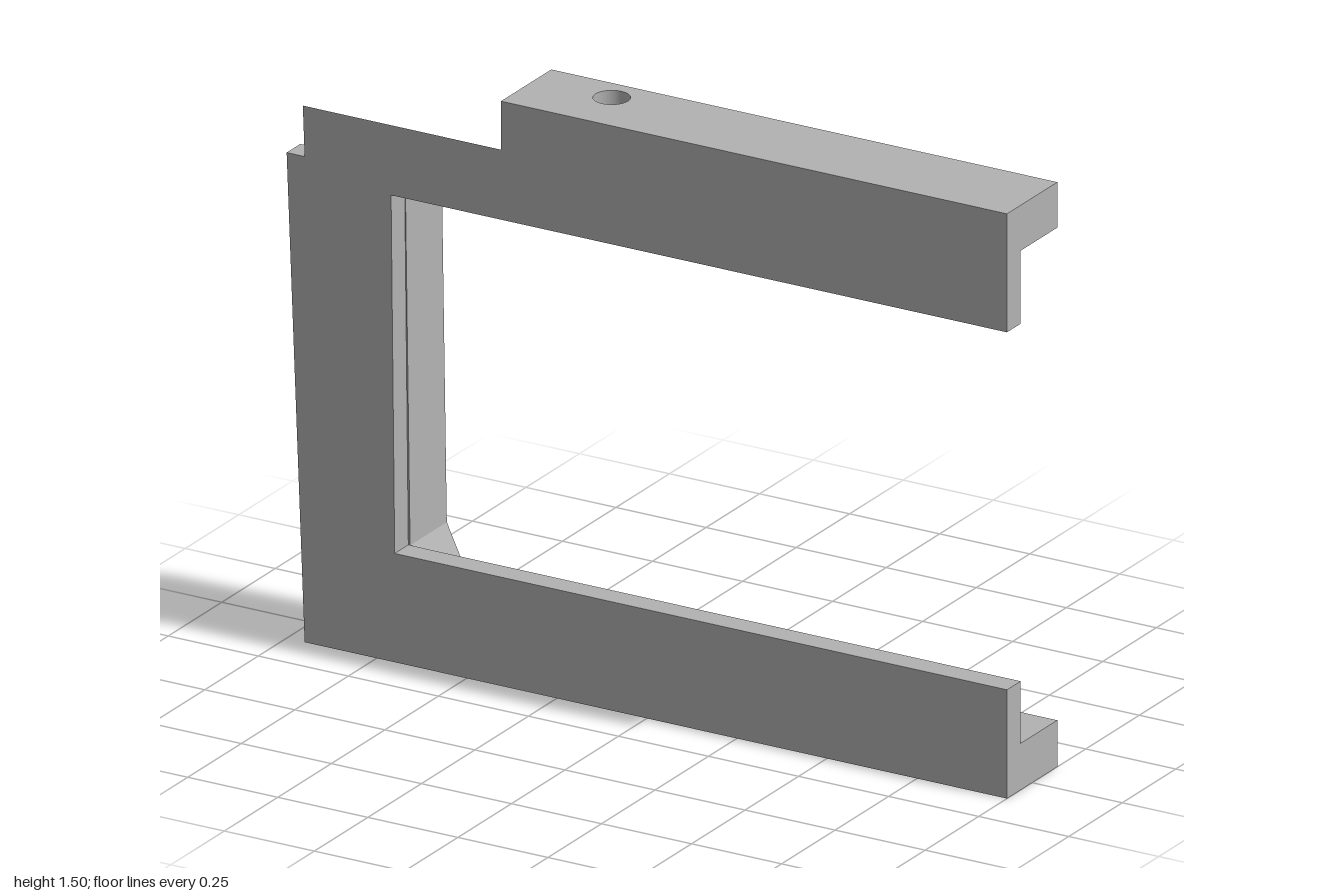
import * as THREE from 'three';

const FRONT = 0.1175, STEP = 0.054, BACK = -0.1175;

export function createModel() {
  const group = new THREE.Group();
  group.name = 'bracketFrame';
  const grey = new THREE.MeshStandardMaterial({ color: 0xb2b2b2 });
  grey.name = 'plain grey';

  const add = (name, geometry) => {
    const mesh = new THREE.Mesh(geometry, grey);
    mesh.name = name;
    group.add(mesh);
  };

  const outline = (points) => new THREE.Shape(points.map(([x, y]) => new THREE.Vector2(x, y)));

  // Extrude an outline from z0 to z1, lowering the rear corners at height topY to rearY
  const slopedExtrude = (points, z0, z1, topY, rearY) => {
    const g = new THREE.ExtrudeGeometry(outline(points), { depth: z1 - z0, bevelEnabled: false });
    g.translate(0, 0, z0);
    const p = g.attributes.position;
    for (let i = 0; i < p.count; i++) {
      if (Math.abs(p.getY(i) - topY) < 1e-4 && p.getZ(i) < z0 + 1e-4) p.setY(i, rearY);
    }
    g.computeVertexNormals();
    return g;
  };

  // C-shaped front plate, with a sloping top edge over the upright
  add('frontPlate', slopedExtrude([
    [-0.95, 0], [1, 0], [1, 0.28], [-0.7, 0.28], [-0.71, 1.2], [1, 1.2], [1, 1.505],
    [-0.405, 1.505], [-0.405, 1.38], [-0.955, 1.38], [-0.95, 1.25], [-1, 1.25],
  ], STEP, FRONT, 1.38, 1.342));

  // Rear rib of the upright, angled into the lower flange
  add('rearRib', slopedExtrude([
    [-0.7, 0], [-0.62, 0], [-0.62, 0.12], [-0.695, 0.28],
    [-0.71, 1.342], [-0.828, 1.342], [-0.815, 0.3],
  ], BACK, STEP, 1.342, 1.245));

  // Horizontal flanges, each with a vertical screw hole
  const addFlange = (name, x0, y0, y1) => {
    const shape = outline([[x0, -STEP], [1, -STEP], [1, -BACK], [x0, -BACK]]);
    const hole = new THREE.Path();
    hole.absarc(-0.19, 0.038, 0.045, 0, Math.PI * 2, true);
    shape.holes.push(hole);
    const g = new THREE.ExtrudeGeometry(shape, { depth: y1 - y0, bevelEnabled: false, curveSegments: 32 });
    g.rotateX(-Math.PI / 2);
    g.translate(0, y0, 0);
    add(name, g);
  };
  addFlange('lowerFlange', -0.62, 0, 0.12);
  addFlange('upperFlange', -0.405, 1.388, 1.505);

  return group;
}
